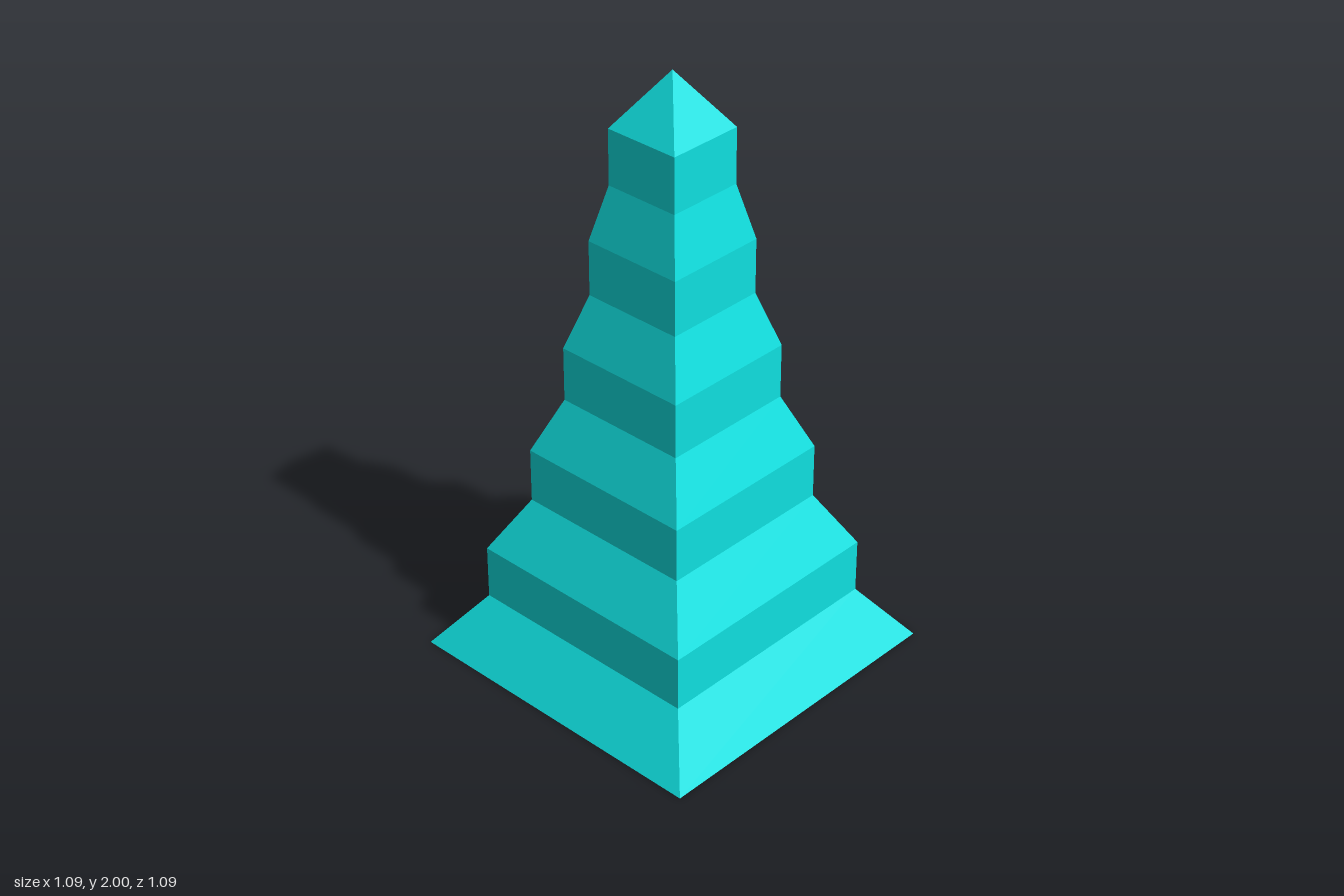
import * as THREE from 'three';

const STEP = 2 / 11;       // height of every band
const BASE = 3 * STEP;     // half width at the ground
const SHRINK = 0.75;       // each tier narrows by this factor
const TIERS = 5;

export function createModel() {
  const tower = new THREE.Group();
  tower.name = 'steppedSpire';
  const turquoise = new THREE.MeshStandardMaterial({ color: 0x10e0e0, flatShading: true });
  turquoise.name = 'turquoise';

  let level = 0;
  // One open square band, given by its half widths
  const addBand = (name, lower, upper) => {
    const geometry = new THREE.CylinderGeometry(upper * Math.SQRT2, lower * Math.SQRT2, STEP, 4, 1, true);
    geometry.rotateY(Math.PI / 4);
    const mesh = new THREE.Mesh(geometry, turquoise);
    mesh.name = name;
    mesh.position.y = (level + 0.5) * STEP;
    tower.add(mesh);
    level++;
  };

  // Alternating sloped skirts and upright walls
  let half = BASE;
  for (let i = 1; i <= TIERS; i++) {
    const next = half * SHRINK;
    addBand(`slopedSkirt${i}`, half, next);
    addBand(`uprightWall${i}`, next, next);
    half = next;
  }

  // Pointed cap
  addBand('pyramidCap', half, 0);

  // Underside
  const floor = new THREE.Mesh(new THREE.PlaneGeometry(BASE * 2, BASE * 2), turquoise);
  floor.name = 'underside';
  floor.rotation.x = Math.PI / 2;
  tower.add(floor);

  return tower;
}
